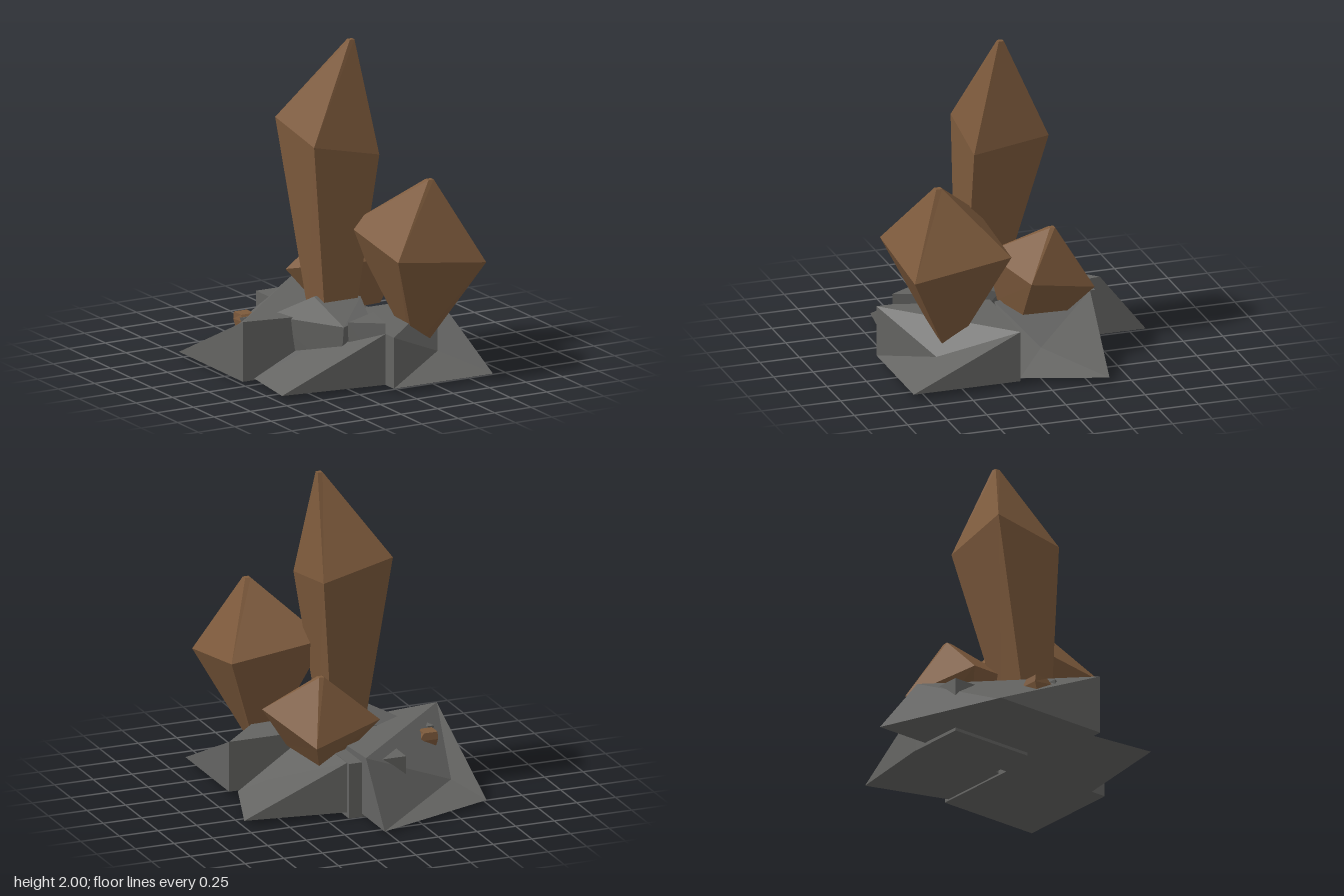
import * as THREE from 'three';
import { ConvexGeometry } from 'three/addons/geometries/ConvexGeometry.js';

const rockMat = new THREE.MeshStandardMaterial({ color: 0x646462, flatShading: true });
const crystalMat = new THREE.MeshStandardMaterial({ color: 0x7d5a3c, flatShading: true });

// Flat-sided solid from corner points and polygon faces (split as fans)
function solid(name, points, faces, material) {
  const pos = [];
  for (const f of faces)
    for (let i = 1; i < f.length - 1; i++) pos.push(...points[f[0]], ...points[f[i]], ...points[f[i + 1]]);
  const geo = new THREE.BufferGeometry();
  geo.setAttribute('position', new THREE.Float32BufferAttribute(pos, 3));
  geo.computeVertexNormals();
  const mesh = new THREE.Mesh(geo, material);
  mesh.name = name;
  return mesh;
}

// Four-sided crystal: rings of base, belt and tip, each front left, front right, back right, back left
function crystal(name, base, belt, [x, y, z], r = 0.016) {
  const tip = [[x - r, y, z + r], [x + r, y, z + r], [x + r, y, z - r], [x - r, y, z - r]];
  const faces = [[3, 2, 1, 0], [8, 9, 10, 11]];
  for (const k of [0, 4])
    for (let i = 0; i < 4; i++) {
      const j = (i + 1) % 4;
      faces.push([k + i, k + j, k + 4 + j, k + 4 + i]);
    }
  return solid(name, [...base, ...belt, ...tip], faces, crystalMat);
}

// Slab with two raised corners (p1, p2), a raised back corner, two ground corners (l1, l2) and a kink in its slope
function wedge(name, p1, back, p2, l2, l1, kink) {
  const y = l1[1];
  const down = (p) => [p[0], y, p[2]];
  return solid(name, [p1, back, p2, l2, l1, kink, down(p1), down(back), down(p2)], [
    [0, 1, 2], [0, 2, 5], [2, 3, 5], [3, 4, 5], [4, 0, 5],
    [0, 4, 6], [2, 8, 3], [0, 6, 7, 1], [1, 7, 8, 2], [6, 4, 3, 8, 7],
  ], rockMat);
}

// Convex boulder
function boulder(name, points) {
  const mesh = new THREE.Mesh(new ConvexGeometry(points.map((p) => new THREE.Vector3(...p))), rockMat);
  mesh.name = name;
  return mesh;
}

export function createModel() {
  const model = new THREE.Group();
  model.name = 'crystalRocks';

  // Sloping slabs around the foot
  const slabs = new THREE.Group();
  slabs.name = 'rockSlabs';
  slabs.add(
    wedge('backRightSlab', [-0.75, 0.39, 0.22], [0.03, 0.35, 0.22], [0.03, 0.39, -0.55],
      [0.03, 0.02, -0.84], [-0.75, 0.02, -0.55], [-0.6, 0.11, -0.36]),
    wedge('frontLeftSlab', [0.62, 0.345, 0.155], [-0.06, 0.345, 0.155], [-0.06, 0.345, 0.83],
      [-0.06, 0.03, 0.83], [0.62, 0.03, 0.83], [0.37, 0.15, 0.6]),
    wedge('frontRightSlab', [-0.06, 0.345, 0.73], [0.1, 0.345, 0.4], [0.0, 0.345, 0.2],
      [-0.67, 0.03, 0.2], [-0.72, 0.03, 0.64], [-0.43, 0.15, 0.29]),
    wedge('backLeftSlab', [0.11, 0.345, -0.46], [0, 0.345, -0.15], [0.1, 0.345, 0.14],
      [0.57, 0.03, 0.14], [0.74, 0.03, -0.365], [0.43, 0.15, -0.04]),
  );
  model.add(slabs);

  // Boulders in the middle
  model.add(
    boulder('middleBoulder', [
      [-0.49, 0.36, 0.08], [-0.25, 0.37, 0.56], [-0.02, 0.39, 0.45], [0.06, 0.38, 0.1], [-0.25, 0.38, 0],
      [-0.25, 0.475, 0.2], [0.03, 0.455, 0.27], [-0.03, 0.46, 0.12],
      [-0.42, 0.05, 0.12], [-0.24, 0.05, 0.5], [0.05, 0.05, 0.4], [0, 0.05, 0]]),
    boulder('frontBoulder', [
      [-0.21, 0.39, 0.54], [-0.06, 0.41, 0.73], [0.02, 0.4, 0.44],
      [-0.2, 0.1, 0.53], [-0.06, 0.1, 0.72], [0.02, 0.1, 0.44]]),
    boulder('smallStone', [
      [-0.63, 0.34, -0.03], [-0.56, 0.34, -0.03], [-0.6, 0.35, 0.01], [-0.6, 0.25, -0.01]]),
  );

  // Block under the slabs
  const block = new THREE.Mesh(new THREE.BoxGeometry(0.37, 0.345, 0.56), rockMat);
  block.name = 'baseBlock';
  block.position.set(-0.07, 0.1725, -0.21);
  model.add(block);

  // Crystals
  const crystals = new THREE.Group();
  crystals.name = 'crystals';
  crystals.add(
    crystal('tallCrystal',
      [[-0.22, 0.36, 0.28], [-0.01, 0.36, 0.28], [-0.01, 0.36, 0.07], [-0.22, 0.36, 0.07]],
      [[-0.295, 1.42, 0.28], [0.15, 1.32, 0.285], [0.15, 1.39, -0.185], [-0.295, 1.5, -0.19]],
      [0.065, 2, 0.09]),
    crystal('frontCrystal',
      [[0.25, 0.17, 0.53], [0.32, 0.17, 0.53], [0.32, 0.17, 0.47], [0.25, 0.17, 0.47]],
      [[-0.025, 0.8, 0.82], [0.585, 0.72, 0.81], [0.585, 0.815, 0.2], [-0.025, 0.89, 0.205]],
      [0.33, 1.213, 0.575], 0.018),
    crystal('backCrystal',
      [[0.06, 0.34, 0.11], [0.3, 0.32, 0.03], [0.22, 0.28, -0.28], [-0.02, 0.31, -0.17]],
      [[0.03, 0.64, 0.175], [0.46, 0.57, 0.03], [0.295, 0.44, -0.425], [-0.175, 0.52, -0.275]],
      [0.175, 0.81, -0.195]),
    crystal('smallCrystal',
      [[-0.59, 0.22, -0.06], [-0.53, 0.22, -0.06], [-0.53, 0.22, -0.13], [-0.59, 0.22, -0.13]],
      [[-0.61, 0.31, -0.04], [-0.51, 0.31, -0.05], [-0.48, 0.3, -0.16], [-0.6, 0.3, -0.16]],
      [-0.555, 0.345, -0.11], 0.044),
  );
  model.add(crystals);
  return model;
}
